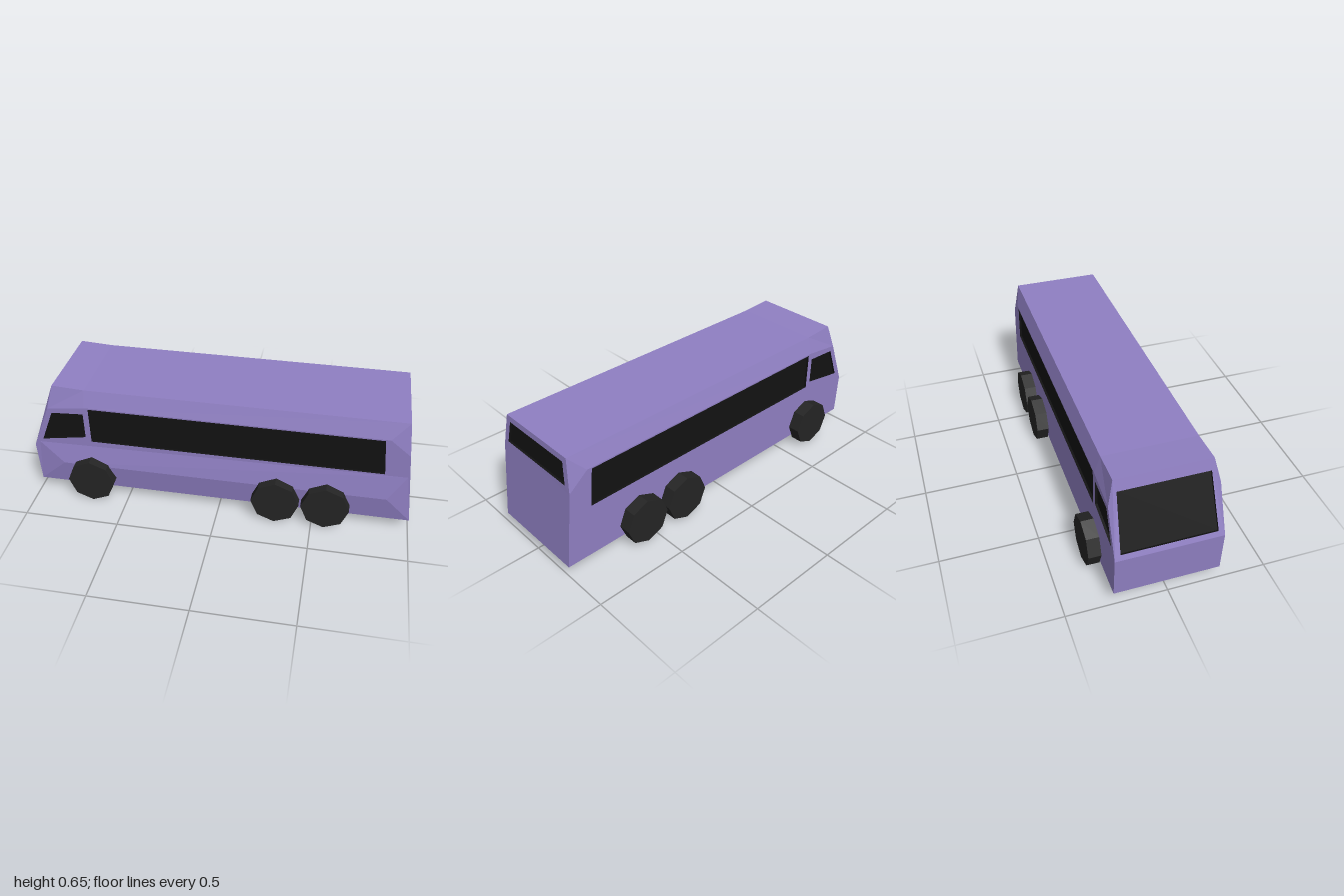
import * as THREE from 'three';

const V = (x, y, z) => new THREE.Vector3(x, y, z);

// Adds a polygon (with optional holes) to a triangle list, facing the direction `out`.
function panel(list, outline, out, holes = []) {
  const a = [Math.abs(out.x), Math.abs(out.y), Math.abs(out.z)];
  const axis = a.indexOf(Math.max(...a));
  const flat = p => axis === 0 ? new THREE.Vector2(p.z, p.y)
    : axis === 1 ? new THREE.Vector2(p.x, p.z) : new THREE.Vector2(p.x, p.y);
  const points = [outline, ...holes].flat();
  const faces = THREE.ShapeUtils.triangulateShape(outline.map(flat), holes.map(h => h.map(flat)));
  for (const face of faces) {
    const t = face.map(i => points[i]);
    const n = t[1].clone().sub(t[0]).cross(t[2].clone().sub(t[0]));
    if (n.dot(out) < 0) t.reverse();
    for (const p of t) list.push(p.x, p.y, p.z);
  }
}

// A recessed pane: dark reveals around the opening and the glass behind it.
function recess(list, corners, out, depth = 0.012) {
  const back = corners.map(p => p.clone().addScaledVector(out, -depth));
  const centre = corners.reduce((s, p) => s.add(p), V(0, 0, 0)).divideScalar(corners.length);
  corners.forEach((p, i) => {
    const j = (i + 1) % corners.length, q = corners[j];
    // two corners and the edge normal pointing into the opening
    const edge = q.clone().sub(p).normalize();
    const inward = centre.clone().sub(p);
    inward.addScaledVector(edge, -inward.dot(edge)).addScaledVector(out, -inward.dot(out));
    panel(list, [p, q, back[j], back[i]], inward);
  });
  panel(list, back, out);
}

function meshOf(list, material, name) {
  const geo = new THREE.BufferGeometry();
  geo.setAttribute('position', new THREE.Float32BufferAttribute(list, 3));
  geo.computeVertexNormals();
  const mesh = new THREE.Mesh(geo, material);
  mesh.name = name;
  return mesh;
}

export function createModel() {
  const group = new THREE.Group();
  group.name = 'bus';
  const paint = new THREE.MeshStandardMaterial({ color: 0x8f7fc2, flatShading: true });
  const glass = new THREE.MeshStandardMaterial({ color: 0x121212, flatShading: true, side: THREE.DoubleSide });
  const rubber = new THREE.MeshStandardMaterial({ color: 0x242424, flatShading: true });

  const W = 0.265, R = 0.236; // half widths at the wall and the roof
  const at = (pts, z) => pts.map(([x, y]) => V(x, y, z));
  const body = [];

  // Side profiles: flat wall, its shoulder line, and the roof edge
  const wall = [[-0.99, 0.06], [1, 0.06], [0.954, 0.47], [0.85, 0.555], [-0.7, 0.555], [-0.9, 0.53], [-1, 0.285]];
  const roof = [[-0.87, 0.655], [-0.7, 0.645], [0.935, 0.645]];
  const cabWindow = [[-0.95, 0.33], [-0.88, 0.505], [-0.71, 0.515], [-0.71, 0.37]];
  const longWindow = [[-0.68, 0.345], [-0.68, 0.548], [0.825, 0.548], [0.845, 0.345]];

  for (const s of [1, -1]) {
    const out = V(0, 0, s);
    const w = at(wall, s * W), r = at(roof, s * R);
    const openings = [cabWindow, longWindow].map(o => at(o, s * W));
    panel(body, w, out, openings);
    // slanted band from shoulder to roof
    panel(body, [w[5], w[4], r[1], r[0]], out);
    panel(body, [w[4], w[3], r[2], r[1]], out);
    panel(body, [w[3], w[2], r[2]], out);
    openings.forEach((o, i) => {
      const list = [];
      recess(list, o, out);
      group.add(meshOf(list, glass, (i ? 'passengerWindow' : 'cabWindow') + (s > 0 ? 'Front' : 'Back')));
    });
  }

  // Roof and floor
  const pair = (p, z) => [V(p[0], p[1], z), V(p[0], p[1], -z)];
  for (const i of [0, 1]) {
    const [a, b] = pair(roof[i], R), [c, d] = pair(roof[i + 1], R);
    panel(body, [a, b, d, c], V(0, 1, 0));
  }
  const [f1, f2] = pair(wall[0], W), [r1, r2] = pair(wall[1], W);
  panel(body, [f1, f2, r2, r1], V(0, -1, 0));

  // Nose and windscreen surround
  const [n1, n2] = pair(wall[6], W), [s1, s2] = pair(wall[5], W), [t1, t2] = pair(roof[0], R);
  const screen = [V(-0.99, 0.312, 0.235), V(-0.885, 0.595, 0.222), V(-0.885, 0.595, -0.222), V(-0.99, 0.312, -0.235)];
  panel(body, [f1, n1, n2, f2], V(-1, 0, 0));
  panel(body, [n1, s1, t1, t2, s2, n2], V(-1, 0, 0), [screen]);
  const screenList = [];
  recess(screenList, screen, V(-0.94, 0.34, 0));
  group.add(meshOf(screenList, glass, 'windscreen'));

  // Tail and rear window
  const [k1, k2] = pair(wall[2], W), [u1, u2] = pair(roof[2], R);
  const tailX = y => 1 - (y - 0.06) * 0.111;
  const rear = [[0.5, 0.23], [0.615, 0.21], [0.615, -0.21], [0.5, -0.23]].map(([y, z]) => V(tailX(y), y, z));
  panel(body, [r1, k1, u1, u2, k2, r2], V(1, 0, 0), [rear]);
  const rearList = [];
  recess(rearList, rear, V(0.994, 0.11, 0));
  group.add(meshOf(rearList, glass, 'rearWindow'));
  group.add(meshOf(body, paint, 'body'));

  // Shallow swelling along the lower wall on one side only
  const swell = [];
  const low = at([[-0.99, 0.06], [1, 0.06]], W + 0.0005);
  const ridge = at([[-0.84, 0.2], [0.87, 0.2]], 0.287);
  const high = at([[-0.97, 0.31], [0.96, 0.34]], W + 0.0005);
  panel(swell, [low[0], low[1], ridge[1], ridge[0]], V(0, 0, 1));
  panel(swell, [ridge[0], ridge[1], high[1], high[0]], V(0, 0, 1));
  panel(swell, [low[0], ridge[0], high[0]], V(0, 0, 1));
  panel(swell, [low[1], high[1], ridge[1]], V(0, 0, 1));
  group.add(meshOf(swell, paint, 'lowerSidePanel'));

  // Eight-sided wheels: one front axle, two rear axles
  const wheelGeo = new THREE.CylinderGeometry(0.125, 0.125, 0.066, 8).rotateX(Math.PI / 2);
  for (const [x, name] of [[-0.685, 'frontWheel'], [0.305, 'middleWheel'], [0.565, 'rearWheel']]) {
    for (const s of [1, -1]) {
      const wheel = new THREE.Mesh(wheelGeo, rubber);
      wheel.name = name;
      wheel.position.set(x, 0.125, s * 0.297);
      group.add(wheel);
    }
  }
  return group;
}
